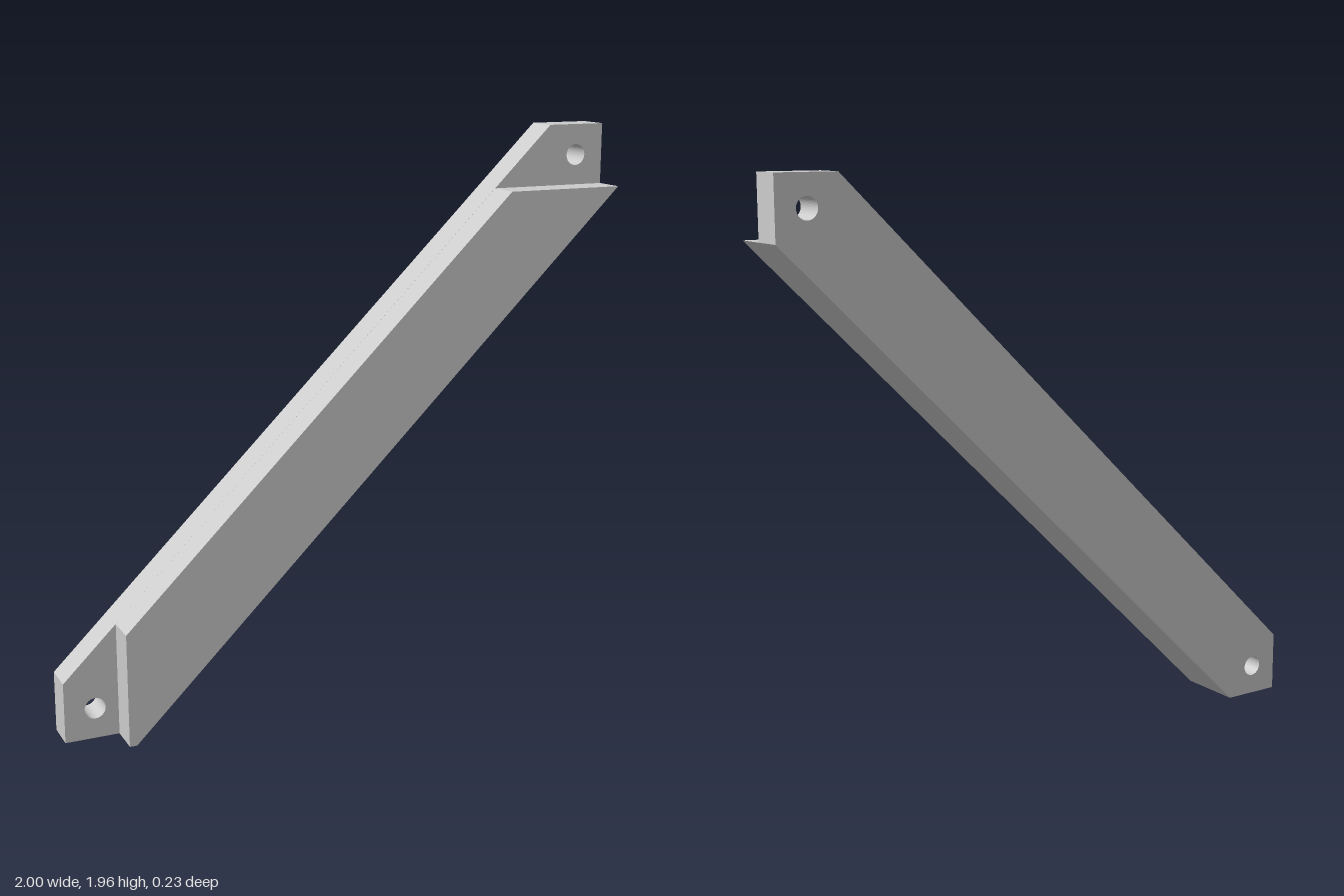
import * as THREE from 'three';

const DEPTH = 0.115; // thickness of each half of the brace
const HOLE_RADIUS = 0.036;

// Extrude a flat outline, with optional round bolt holes, from z to z + DEPTH
function plate(name, outline, z, holes = []) {
  const shape = new THREE.Shape(outline.map(([x, y]) => new THREE.Vector2(x, y)));
  for (const [x, y] of holes) {
    shape.holes.push(new THREE.Path().absarc(x, y, HOLE_RADIUS, 0, Math.PI * 2, true));
  }
  const geometry = new THREE.ExtrudeGeometry(shape, {
    depth: DEPTH,
    bevelEnabled: false,
    curveSegments: 24,
  });
  geometry.translate(0, 0, z);
  const mesh = new THREE.Mesh(geometry, new THREE.MeshStandardMaterial({ color: 0xcccccc }));
  mesh.name = name;
  return mesh;
}

export function createModel() {
  const group = new THREE.Group();
  group.name = 'diagonalBrace';

  // Back half: full length, ending in square-cornered tabs with bolt holes
  group.add(plate('backHalfWithTabs', [
    [-1, 0], [-0.79, 0], [1, 1.752], [1, 1.96], [0.79, 1.96], [-1, 0.208],
  ], -DEPTH, [[-0.895, 0.105], [0.895, 1.855]]));

  // Front half: cut upright at the lower lap joint and level at the upper one
  group.add(plate('frontHalf', [
    [-0.815, 0], [-0.79, 0], [1, 1.752], [0.578, 1.752], [-0.815, 0.389],
  ], 0));

  return group;
}
